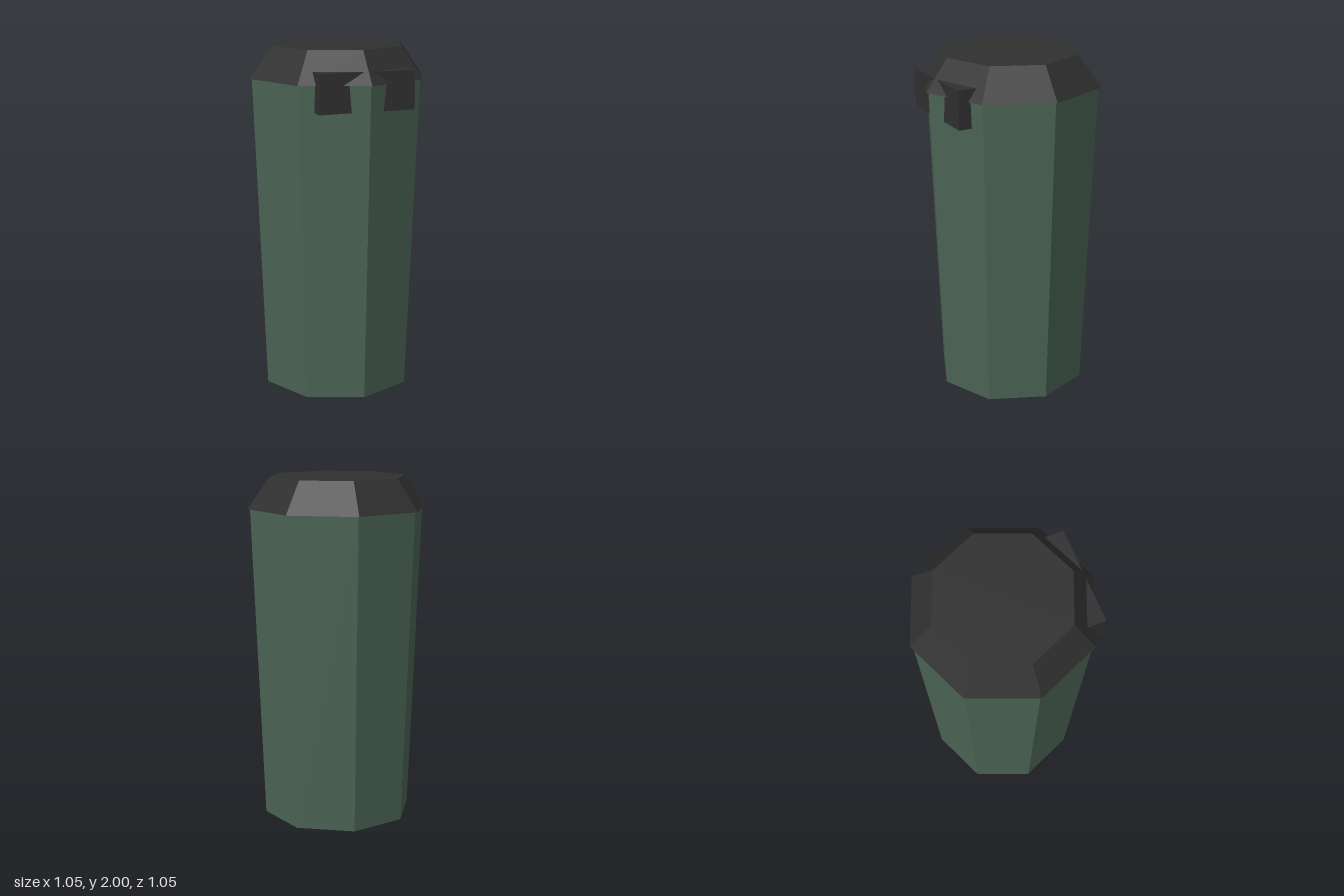
import * as THREE from 'three';

export function createModel() {
  const model = new THREE.Group();
  model.name = 'trashBin';

  const green = new THREE.MeshStandardMaterial({ color: 0x4b6454, flatShading: true, side: THREE.DoubleSide });
  green.name = 'binGreen';
  const charcoal = new THREE.MeshStandardMaterial({ color: 0x303030, flatShading: true, side: THREE.DoubleSide });
  charcoal.name = 'charcoal';

  const add = (name, geometry, material, x, y, z) => {
    const mesh = new THREE.Mesh(geometry, material);
    mesh.name = name;
    mesh.position.set(x, y, z);
    model.add(mesh);
    return mesh;
  };

  // Eight-sided tapered frustum standing between two heights
  const frustum = (name, rTop, rBottom, y0, y1, material, open, x = 0, z = 0) =>
    add(name, new THREE.CylinderGeometry(rTop, rBottom, y1 - y0, 8, 1, open), material, x, (y0 + y1) / 2, z);

  // Hollow body, open underneath, with a bevelled lid overhanging its rim
  frustum('body', 0.51, 0.44, 0, 1.825, green, true);
  frustum('lid', 0.395, 0.525, 1.82, 2, charcoal, false);

  // Front latch, a block whose middle is buried behind the front corner
  add('frontLatch', new THREE.BoxGeometry(0.56, 0.22, 0.125), charcoal, 0, 1.78, 0.4025);

  // Pair of hollow feet tucked inside the open base
  for (const side of [-1, 1]) {
    frustum(side > 0 ? 'leftFoot' : 'rightFoot', 0.125, 0.125, 0.08, 0.5, charcoal, true, side * 0.285, 0);
  }

  return model;
}
